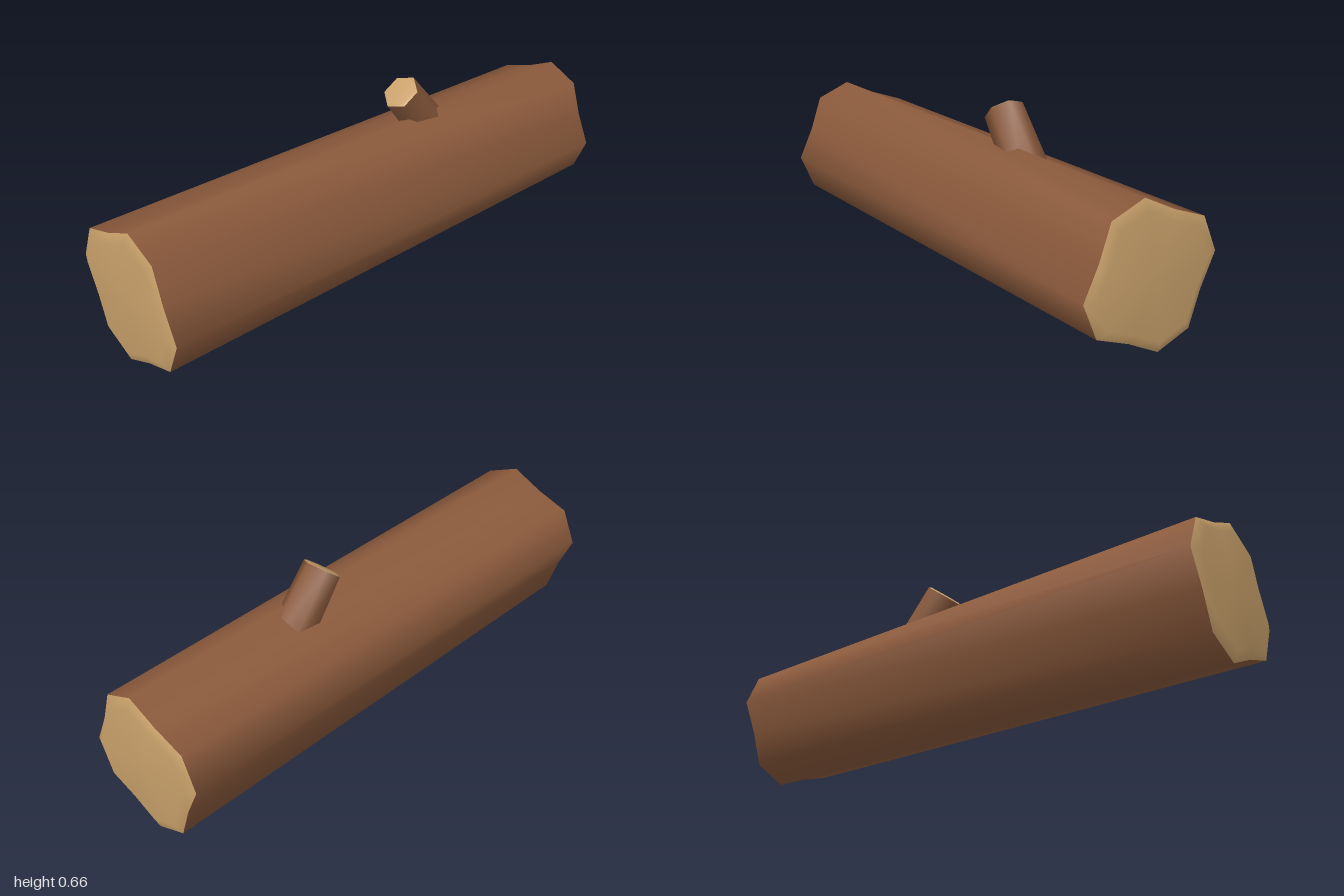
import * as THREE from 'three';

const bark = new THREE.MeshStandardMaterial({ color: 0x8b5a3c });
const wood = new THREE.MeshStandardMaterial({ color: 0xc8a06a });

// Smooth skin through rings [x, scale], listed in order of rising x;
// radii holds the radius at each corner, start is the angle of the first one
function loft(name, material, rings, radii, start) {
  const n = radii.length, position = [], index = [];
  for (const [x, s] of rings) {
    radii.forEach((r, j) => {
      const a = start + (j / n) * Math.PI * 2;
      position.push(x, Math.sin(a) * r * s, Math.cos(a) * r * s);
    });
  }
  for (let i = 0; i < rings.length - 1; i++) {
    for (let j = 0; j < n; j++) {
      const k = (j + 1) % n;
      const a = i * n + j, b = i * n + k, c = a + n, d = b + n;
      if (rings[i][1] > 0) index.push(a, c, b);
      if (rings[i + 1][1] > 0) index.push(b, c, d);
      else if (rings[i][1] <= 0) continue;
    }
  }
  const g = new THREE.BufferGeometry();
  g.setAttribute('position', new THREE.Float32BufferAttribute(position, 3));
  g.setIndex(index);
  g.computeVertexNormals();
  const mesh = new THREE.Mesh(g, material);
  mesh.name = name;
  return mesh;
}

export function createModel() {
  const model = new THREE.Group();
  model.name = 'log';

  // Trunk: twelve corners, every third one pulled in, tapering towards +x
  const radii = Array.from({ length: 12 }, (_, i) => (i % 3 === 1 ? 0.224 : 0.267));
  const start = THREE.MathUtils.degToRad(-8.4);
  const trunk = new THREE.Group();
  trunk.name = 'trunk';
  trunk.position.y = 0.267;
  trunk.add(
    loft('trunkBark', bark, [[-0.983, 1], [0.983, 0.94]], radii, start),
    // Cut ends with a softened edge
    loft('leftCutEnd', wood, [[0.983, 0.94], [0.999, 0.8], [1, 0]], radii, start),
    loft('rightCutEnd', wood, [[-1, 0], [-0.999, 0.85], [-0.983, 1]], radii, start)
  );

  // Six-sided branch stub leaning towards -x, rooted inside the trunk
  const hex = Array(6).fill(0.07), turn = THREE.MathUtils.degToRad(278);
  const branch = new THREE.Group();
  branch.name = 'branch';
  branch.position.set(0.18, 0.625, 0);
  branch.rotation.z = THREE.MathUtils.degToRad(128.5);
  branch.add(
    loft('branchBark', bark, [[-0.35, 1.16], [-0.005, 1]], hex, turn),
    loft('branchCutEnd', wood, [[-0.005, 1], [0, 0.85], [0, 0]], hex, turn)
  );

  model.add(trunk, branch);
  return model;
}
